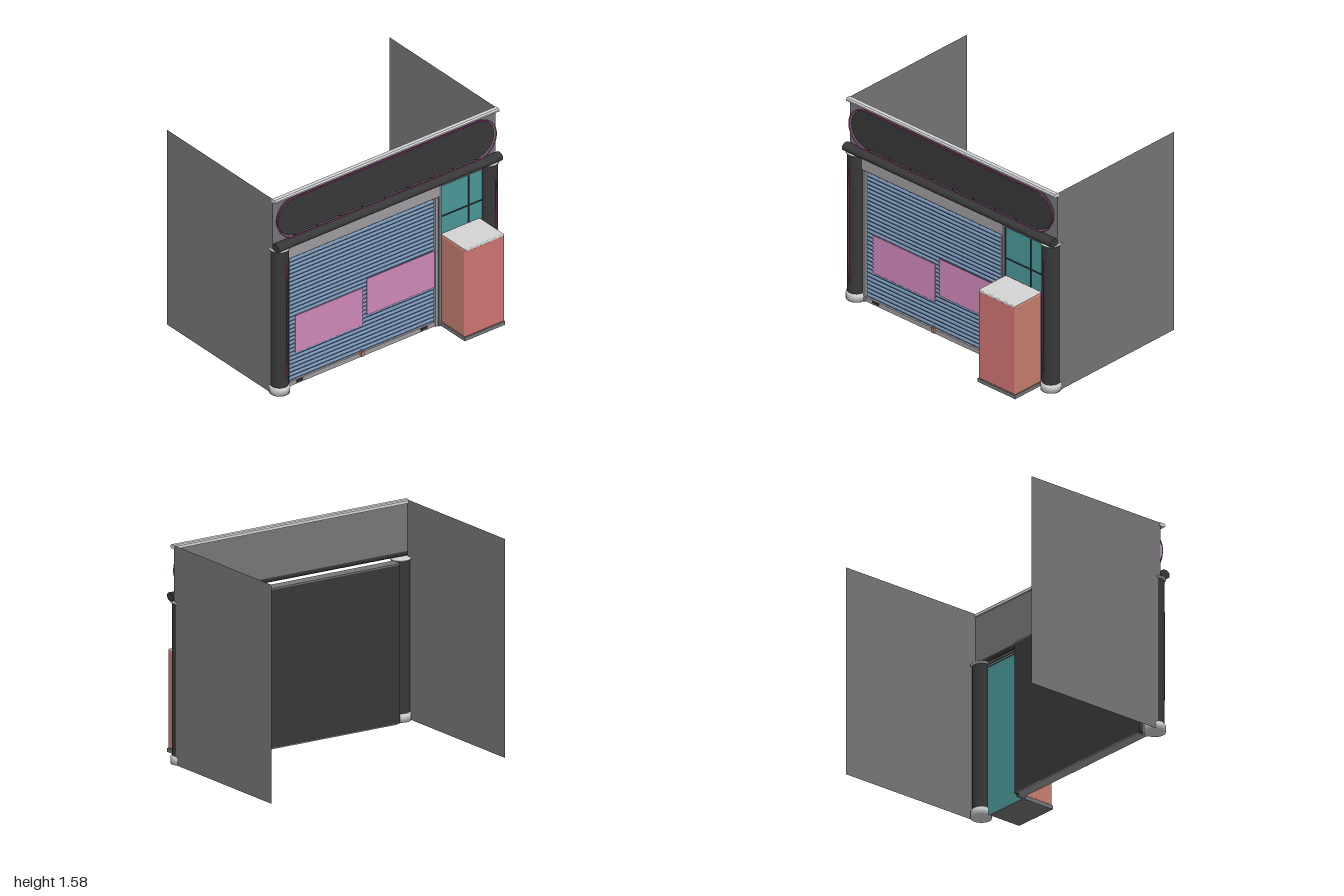
import * as THREE from 'three';
import { RoundedBoxGeometry } from 'three/addons/geometries/RoundedBoxGeometry.js';

const mat = (name, color, side = THREE.FrontSide) => {
  const m = new THREE.MeshStandardMaterial({ color, side });
  m.name = name;
  return m;
};

export function createModel() {
  const root = new THREE.Group();
  root.name = 'storefront';
  const M = {
    wall: mat('wallGrey', 0x77767a, THREE.DoubleSide),
    dark: mat('charcoal', 0x383838),
    light: mat('paleGrey', 0xd4d4d4),
    metal: mat('metalGrey', 0x9f9da0),
    blue: mat('shutterBlue', 0x7592b4),
    pink: mat('posterPink', 0xd08ab9),
    neon: mat('neonPink', 0xd04fae),
    teal: mat('glassTeal', 0x4a9898, THREE.DoubleSide),
    red: mat('counterRed', 0xd07573),
    clay: mat('terracotta', 0xc87f6f),
  };

  const add = (name, geo, material, parent = root) => {
    const mesh = new THREE.Mesh(geo, material);
    mesh.name = name;
    parent.add(mesh);
    return mesh;
  };
  // Box given by its limits on each axis
  const box = (name, m, x0, x1, y0, y1, z0, z1) => {
    const mesh = add(name, new THREE.BoxGeometry(x1 - x0, y1 - y0, z1 - z0), m);
    mesh.position.set((x0 + x1) / 2, (y0 + y1) / 2, (z0 + z1) / 2);
    return mesh;
  };
  // Cross-section of [z, y] points swept along x
  const sweep = (name, m, pts, x0, x1) => {
    const shape = new THREE.Shape(pts.map(([z, y]) => new THREE.Vector2(z, y)));
    const geo = new THREE.ExtrudeGeometry(shape, { depth: x1 - x0, bevelEnabled: false });
    geo.rotateY(-Math.PI / 2).translate(x1, 0, 0);
    return add(name, geo, m);
  };
  const stadium = (halfWidth, r, C = THREE.Shape) => {
    const s = new C(), c = halfWidth - r;
    s.absarc(c, 0, r, -Math.PI / 2, Math.PI / 2, false);
    s.absarc(-c, 0, r, Math.PI / 2, Math.PI * 1.5, false);
    s.closePath();
    return s;
  };

  // Side walls and the fascia wall
  for (const s of [-1, 1]) {
    const wall = add('sideWall', new THREE.PlaneGeometry(1.18, 1.58), M.wall);
    wall.rotation.y = s * Math.PI / 2;
    wall.position.set(s * 0.985, 0.79, -0.14);
  }
  const fascia = add('fasciaWall', new THREE.PlaneGeometry(1.97, 0.38), M.wall);
  fascia.position.set(0, 1.39, 0.45);

  // Rounded coping along the top
  sweep('topTrim', M.light, [[0.44, 1.555], [0.48, 1.555], [0.487, 1.562], [0.487, 1.572],
    [0.478, 1.582], [0.448, 1.582], [0.44, 1.575]], -0.99, 0.99);

  // Long sign board with its neon outline
  const board = add('signBoard', new THREE.ExtrudeGeometry(stadium(0.955, 0.148),
    { depth: 0.02, bevelEnabled: false, curveSegments: 24 }), M.dark);
  board.position.set(0, 1.388, 0.451);
  const outline = stadium(0.965, 0.158).getSpacedPoints(120).map(p => new THREE.Vector3(p.x, p.y, 0));
  outline.pop();
  const ring = add('signNeon', new THREE.TubeGeometry(
    new THREE.CatmullRomCurve3(outline, true), 200, 0.005, 6, true), M.neon);
  ring.position.set(0, 1.388, 0.482);
  for (let i = 0; i < 9; i++) {
    for (const y of [1.23, 1.546]) {
      const x = -0.8 + i * 0.2;
      box('neonBracket', M.dark, x - 0.003, x + 0.003, y - 0.003, y + 0.003, 0.45, 0.482);
    }
  }

  // Rounded beam under the sign
  const beam = add('beam', new THREE.CylinderGeometry(0.04, 0.04, 1.98, 24), M.dark);
  beam.rotation.z = Math.PI / 2;
  beam.scale.x = 0.8;
  beam.position.set(0, 1.2, 0.488);

  // Columns with base, cap and neon strip
  const lathe = pts => new THREE.LatheGeometry(pts.map(p => new THREE.Vector2(...p)), 32);
  for (const s of [-1, 1]) {
    const col = new THREE.Group();
    col.name = 'column';
    col.position.set(s * 0.925, 0, 0.45);
    root.add(col);
    add('columnShaft', new THREE.CylinderGeometry(0.065, 0.065, 1.11, 32), M.dark, col).position.y = 0.605;
    add('columnBase', lathe([[0, 0], [0.074, 0], [0.075, 0.04], [0.072, 0.056], [0.064, 0.063], [0, 0.063]]), M.light, col);
    add('columnCap', lathe([[0, 1.155], [0.066, 1.155], [0.068, 1.162], [0.075, 1.163], [0.075, 1.172], [0, 1.172]]), M.light, col);
    const strip = new THREE.CatmullRomCurve3([[0.155, 0.06], [0.155, 0.078], [0.17, 0.08], [1.045, 0.08],
      [1.06, 0.078], [1.06, 0.06]].map(([y, z]) => new THREE.Vector3(0, y, z)), false, 'centripetal');
    add('columnNeon', new THREE.TubeGeometry(strip, 40, 0.0045, 6), M.neon, col);
  }

  // Corrugated roller shutter
  const slats = 32, y0 = 0.03, pitch = 1.02 / slats;
  const section = [[0.4, y0]];
  for (let i = 0; i < slats; i++) {
    for (const [t, d] of [[0, 0], [0.2, 0.008], [0.5, 0.012], [0.8, 0.008]]) {
      section.push([0.425 + d, y0 + (i + t) * pitch]);
    }
  }
  section.push([0.425, y0 + 1.02], [0.4, y0 + 1.02]);
  sweep('shutter', M.blue, section, -0.84, 0.452);
  box('shutterBack', M.dark, -0.86, 0.475, 0.006, 1.15, 0.365, 0.4);
  box('shutterBoxTop', M.wall, -0.86, 0.475, 1.15, 1.16, 0.365, 0.44);
  sweep('shutterHousing', M.metal, [[0.4, 1.04], [0.45, 1.04], [0.46, 1.046], [0.466, 1.06],
    [0.466, 1.14], [0.455, 1.158], [0.4, 1.158]], -0.86, 0.475);

  // Guide rails and bottom bar with handles and lock
  box('shutterRail', M.metal, -0.856, -0.84, 0, 1.04, 0.4, 0.455);
  box('shutterRail', M.metal, 0.452, 0.472, 0, 1.04, 0.4, 0.455);
  box('framePost', M.wall, 0.472, 0.495, 0, 1.16, 0.4, 0.465);
  box('bottomBar', M.metal, -0.84, 0.452, 0, 0.035, 0.365, 0.445);
  for (const x of [-0.745, 0.355]) box('shutterHandle', M.dark, x - 0.028, x + 0.028, 0.014, 0.03, 0.44, 0.452);
  box('shutterLock', M.clay, -0.209, -0.181, 0.008, 0.045, 0.44, 0.46);
  box('lockBar', M.clay, -0.2, -0.19, 0.045, 0.057, 0.44, 0.453);

  // Posters on the shutter
  box('poster', M.pink, -0.775, -0.185, 0.25, 0.55, 0.436, 0.441);
  box('poster', M.pink, -0.145, 0.452, 0.315, 0.61, 0.436, 0.441);

  // Glazed side window with mullions and header
  const glass = add('windowGlass', new THREE.PlaneGeometry(0.49, 1.16), M.teal);
  glass.position.set(0.738, 0.58, 0.453);
  box('mullion', M.dark, 0.736, 0.743, 0.74, 1.13, 0.454, 0.462);
  box('transom', M.dark, 0.495, 0.86, 0.876, 0.882, 0.454, 0.462);
  box('windowJamb', M.dark, 0.495, 0.499, 0.74, 1.13, 0.454, 0.462);
  box('windowHeader', M.wall, 0.472, 0.86, 1.13, 1.145, 0.445, 0.468);
  box('windowHeader', M.wall, 0.472, 0.86, 1.152, 1.165, 0.445, 0.475);

  // Service counter: plinth, coloured body and pale top
  box('counterPlinth', M.wall, 0.49, 0.848, 0, 0.028, 0.46, 0.73);
  const body = add('counterBody', new RoundedBoxGeometry(0.352, 0.705, 0.268, 3, 0.012),
    [M.clay, M.clay, M.clay, M.clay, M.red, M.clay]);
  body.position.set(0.669, 0.38, 0.593);
  const top = add('counterTop', new RoundedBoxGeometry(0.338, 0.02, 0.275, 2, 0.006), M.light);
  top.position.set(0.669, 0.732, 0.5945);

  return root;
}
